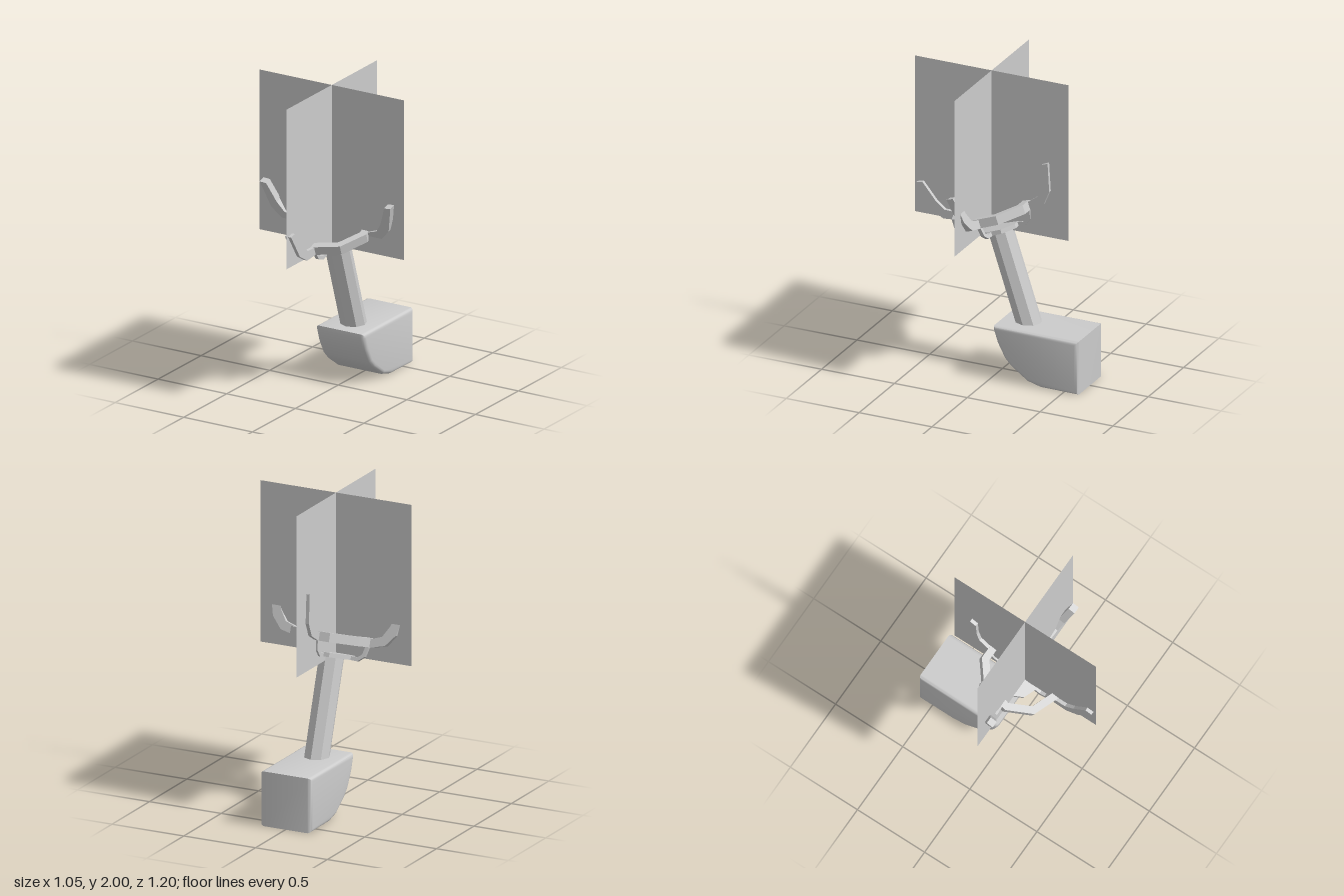
import * as THREE from 'three';
import { toCreasedNormals } from 'three/addons/utils/BufferGeometryUtils.js';

const flat = new THREE.MeshStandardMaterial({ color: 0xcccccc, flatShading: true });
const smooth = new THREE.MeshStandardMaterial({ color: 0xcccccc });
const thin = new THREE.MeshStandardMaterial({ color: 0xcccccc, side: THREE.DoubleSide });

const vectors = (pts) => pts.map(([x, y]) => new THREE.Vector2(x, y));

function add(parent, name, geometry, material) {
  const mesh = new THREE.Mesh(geometry, material);
  mesh.name = name;
  parent.add(mesh);
  return mesh;
}

// Flat bar cut from a radius/height outline, centred on its width
function barGeometry(outline, width) {
  const geometry = new THREE.ExtrudeGeometry(new THREE.Shape(vectors(outline)), {
    depth: width, bevelEnabled: false,
  });
  return geometry.translate(0, 0, -width / 2);
}

export function createModel() {
  const model = new THREE.Group();
  model.name = 'wallTorch';

  // Wall mount: side outline (z, y) with softly rounded edges
  const bevel = 0.025, width = 0.354;
  const outline = new THREE.Shape(vectors([
    [-0.6, 0.004], [-0.34, 0.006], [-0.25, 0.03], [-0.14, 0.108],
    [-0.095, 0.155], [-0.045, 0.25], [-0.018, 0.333], [-0.018, 0.36], [-0.6, 0.36],
  ]));
  const mountGeometry = new THREE.ExtrudeGeometry(outline, {
    depth: width - 2 * bevel, bevelSize: bevel, bevelThickness: bevel,
    bevelOffset: -bevel, bevelSegments: 4,
  });
  mountGeometry.translate(0, 0, -width / 2 + bevel).rotateY(-Math.PI / 2);
  add(model, 'wallMount', toCreasedNormals(mountGeometry, 0.9), smooth);

  // Tilted torch; its origin is the centre of the ring's underside
  const torch = new THREE.Group();
  torch.name = 'torch';
  torch.position.set(0, 1.04, 0.045);
  torch.rotation.x = THREE.MathUtils.degToRad(18.2);
  model.add(torch);

  // Octagonal handle and nine-sided plate
  add(torch, 'handle', new THREE.CylinderGeometry(0.082, 0.082, 0.72, 8), flat).position.y = -0.445;
  add(torch, 'plate', new THREE.CylinderGeometry(0.147, 0.147, 0.028, 9), flat).position.y = -0.082;

  // Nine-sided ring
  const ringProfile = [[0.226, 0], [0.276, 0], [0.276, 0.058], [0.226, 0.058], [0.226, 0]];
  add(torch, 'ring', new THREE.LatheGeometry(vectors(ringProfile), 9), flat);

  // Four claws on the ring and four struts from plate to ring
  const claw = barGeometry([
    [0.24, 0.002], [0.276, 0.002], [0.363, 0.023], [0.428, 0.097], [0.476, 0.28],
    [0.43, 0.276], [0.378, 0.143], [0.335, 0.077], [0.27, 0.055], [0.24, 0.055],
  ], 0.046);
  const strut = barGeometry([
    [0.12, -0.096], [0.185, -0.098], [0.23, -0.064], [0.25, 0.005],
    [0.228, 0.005], [0.211, -0.052], [0.178, -0.074], [0.12, -0.07],
  ], 0.024);
  ['left', 'back', 'right', 'front'].forEach((side, i) => {
    add(torch, side + 'Claw', claw, flat).rotation.y = i * Math.PI / 2;
    add(torch, side + 'Strut', strut, flat).rotation.y = i * Math.PI / 2;
  });

  // Two crossed upright flame panels
  for (let i = 0; i < 2; i++) {
    const panel = add(model, 'flamePanel' + (i + 1), new THREE.PlaneGeometry(1.054, 1.05), thin);
    panel.position.set(0, 1.475, 0.075);
    panel.rotation.y = i * Math.PI / 2;
  }

  return model;
}
